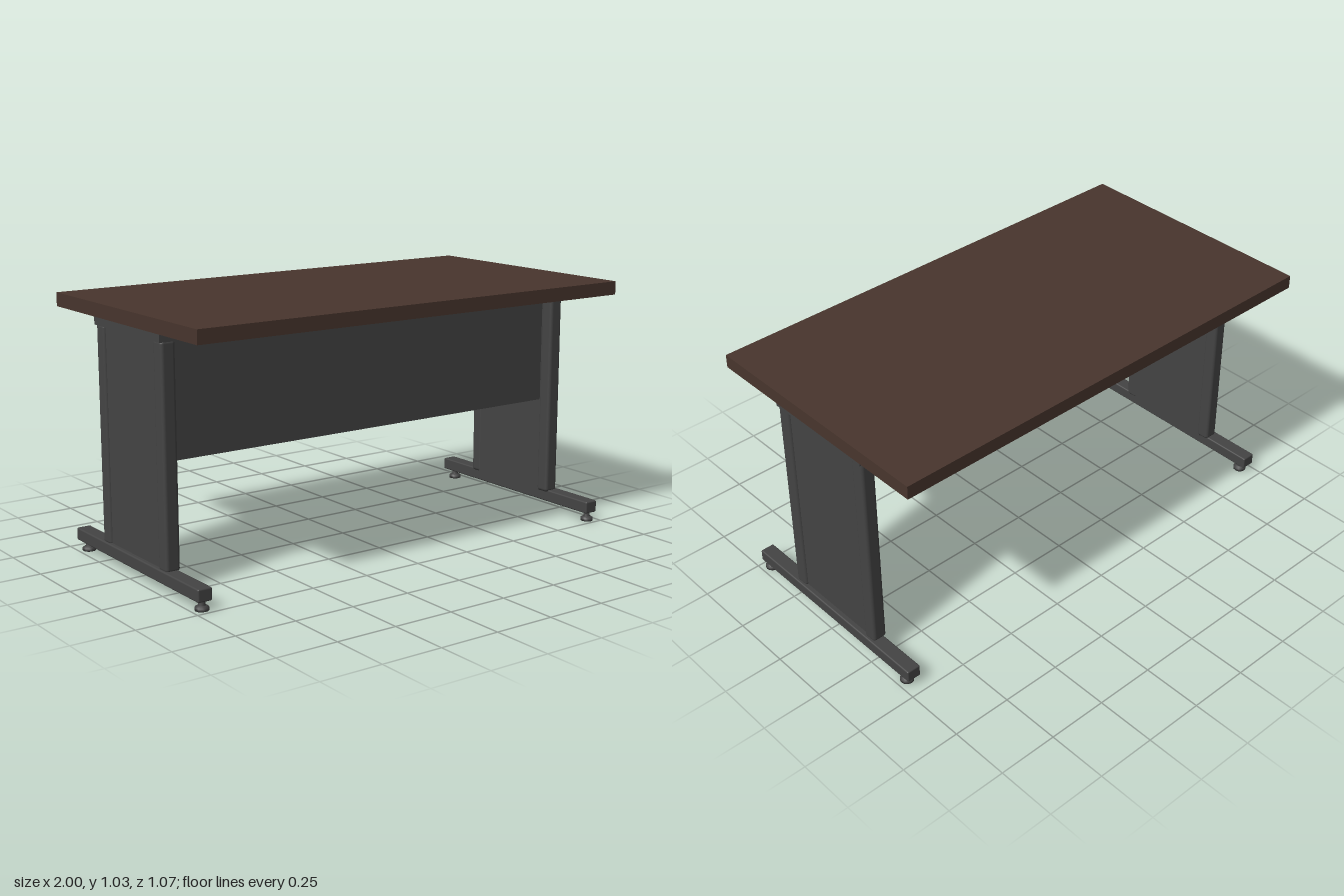
import * as THREE from 'three';
import { RoundedBoxGeometry } from 'three/addons/geometries/RoundedBoxGeometry.js';

const wood = new THREE.MeshStandardMaterial({ color: 0x48352d });
wood.name = 'dark brown wood';
const steel = new THREE.MeshStandardMaterial({ color: 0x444444 });
steel.name = 'dark grey steel';

function add(parent, name, geometry, material, x, y, z) {
  const mesh = new THREE.Mesh(geometry, material);
  mesh.name = name;
  mesh.position.set(x, y, z);
  parent.add(mesh);
  return mesh;
}

// Box given by its lower and upper limits, with optional rounded edges
function block(parent, name, material, [x0, x1], [y0, y1], [z0, z1], radius = 0) {
  const size = [x1 - x0, y1 - y0, z1 - z0];
  const geometry = radius
    ? new RoundedBoxGeometry(...size, 3, radius)
    : new THREE.BoxGeometry(...size);
  return add(parent, name, geometry, material, (x0 + x1) / 2, (y0 + y1) / 2, (z0 + z1) / 2);
}

// Levelling foot: wide pad, collar and thin stem
function levellingFoot(parent, x, z) {
  const foot = new THREE.Group();
  foot.name = 'levellingFoot';
  const profile = [[0, 0], [0.027, 0], [0.027, 0.012], [0.018, 0.018], [0.013, 0.02], [0.013, 0.04]]
    .map(([r, y]) => new THREE.Vector2(r, y));
  add(foot, 'footPad', new THREE.LatheGeometry(profile, 12), steel, 0, 0, 0);
  foot.position.set(x, 0, z);
  parent.add(foot);
}

// Leg: two rounded posts, recessed infill, top bracket and floor beam
function leg(name, x, side) {
  const group = new THREE.Group();
  group.name = name;
  const width = [-0.031, 0.031];
  block(group, 'frontPost', steel, width, [0.08, 0.95], [0.188, 0.25], 0.014);
  block(group, 'backPost', steel, width, [0.08, 0.95], [-0.245, -0.185], 0.014);
  const infill = side > 0 ? [-0.029, 0.021] : [-0.021, 0.029];
  block(group, 'legInfill', steel, infill, [0.08, 0.945], [-0.2, 0.2]);
  block(group, 'topBracket', steel, [-0.037, 0.037], [0.943, 0.978], [-0.245, 0.25]);
  const shift = side > 0 ? 0.012 : -0.008;
  block(group, 'floorBeam', steel, [shift - 0.03, shift + 0.03], [0.037, 0.088], [-0.46, 0.485], 0.006);
  for (const z of [0.459, -0.414]) levellingFoot(group, shift, z);
  group.position.x = x;
  return group;
}

export function createModel() {
  const desk = new THREE.Group();
  desk.name = 'desk';

  block(desk, 'tabletop', wood, [-1, 1], [0.978, 1.033], [-0.535, 0.535]);
  desk.add(leg('leftLeg', 0.945, 1), leg('rightLeg', -0.95, -1));

  // Upright screen between the legs
  block(desk, 'modestyPanel', steel, [-0.925, 0.92], [0.487, 0.945], [0.18, 0.192]);

  // Flat tray under the top with a long cable slot
  const tray = new THREE.Shape();
  tray.moveTo(-0.92, -0.185);
  tray.lineTo(0.915, -0.185);
  tray.lineTo(0.915, 0.185);
  tray.lineTo(-0.92, 0.185);
  tray.closePath();
  const slot = new THREE.Path();
  slot.absellipse(0.17, 0.05, 0.41, 0.045, 0, Math.PI * 2, true);
  tray.holes.push(slot);
  const trayGeometry = new THREE.ExtrudeGeometry(tray, { depth: 0.006, bevelEnabled: false, curveSegments: 24 });
  trayGeometry.rotateX(-Math.PI / 2);
  add(desk, 'cableTray', trayGeometry, steel, 0, 0.939, 0);

  return desk;
}
